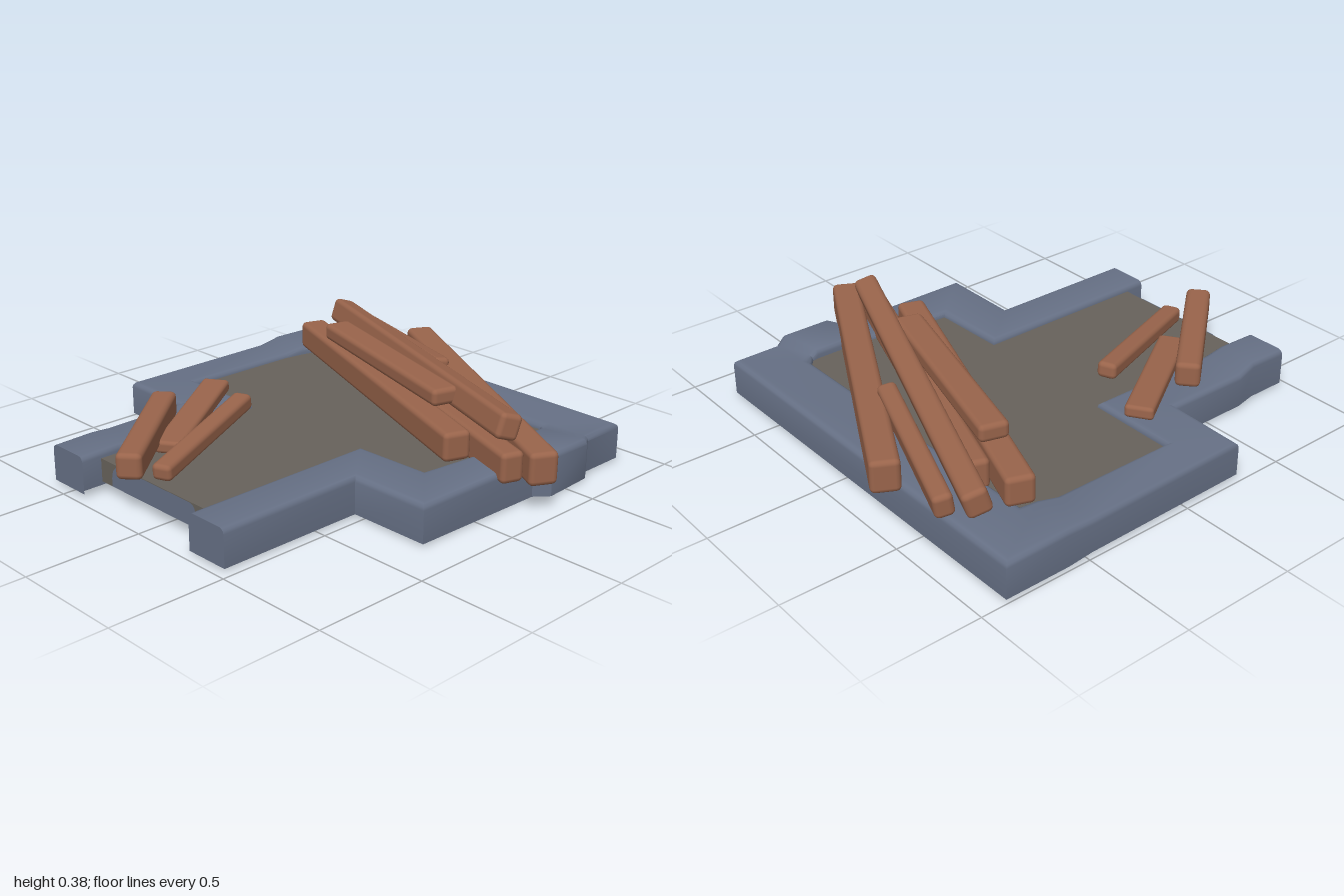
import * as THREE from 'three';
import { toCreasedNormals } from 'three/addons/utils/BufferGeometryUtils.js';
import { RoundedBoxGeometry } from 'three/addons/geometries/RoundedBoxGeometry.js';

const stone = new THREE.MeshStandardMaterial({ color: 0x667085, side: THREE.DoubleSide });
stone.name = 'blue grey stone';
const earth = new THREE.MeshStandardMaterial({ color: 0x67625b, side: THREE.DoubleSide });
earth.name = 'grey brown floor';
const wood = new THREE.MeshStandardMaterial({ color: 0x99644b });
wood.name = 'brown wood';

// Stations along the wall: outer x, z, inner x, z, bottom, top, lower edge of the inner lip
const stations = [
  [0.46, 0.96, 0.26, 0.96, 0.02, 0.18, 0.04],
  [0.46, 0.3, 0.26, 0.07, 0.02, 0.18, 0.1],
  [0.82, 0.3, 0.6, 0.06, 0.02, 0.18, 0.12],
  [0.82, -0.34, 0.64, -0.34, 0.01, 0.175, 0.12],
  [0.87, -0.4, 0.65, -0.4, 0.01, 0.195, 0.12],
  [0.87, -0.62, 0.65, -0.58, 0.02, 0.195, 0.12],
  [0.83, -0.68, 0.645, -0.61, 0.02, 0.18, 0.12],
  [0.83, -0.89, 0.61, -0.64, 0.02, 0.18, 0.12],
  [-1, -0.89, -0.76, -0.63, 0.03, 0.185, 0.12],
  [-1, -0.6, -0.775, -0.57, 0.03, 0.19, 0.12],
  [-0.99, -0.48, -0.79, -0.48, 0.03, 0.175, 0.12],
  [-0.98, 0.29, -0.8, 0.07, 0.03, 0.18, 0.12],
  [-0.63, 0.3, -0.41, 0.07, 0.025, 0.18, 0.1],
  [-0.63, 0.68, -0.41, 0.68, 0.025, 0.175, 0.06],
  [-0.61, 0.78, -0.41, 0.78, 0.025, 0.19, 0.04],
  [-0.61, 0.96, -0.41, 0.96, 0.025, 0.185, 0.04],
];

// Hollow wall swept through the stations: outer face, rounded top, inner lip
function wallGeometry() {
  const bevel = 0.024;
  const rows = stations.map(([ox, oz, ix, iz, bottom, top, lip]) => {
    const point = (t, y) => new THREE.Vector3(ox + (ix - ox) * t, y, oz + (iz - oz) * t);
    const arc = [0, 1, 2, 3].map(k => {
      const a = k * Math.PI / 6;
      return [(1 - Math.cos(a)) * bevel / 0.2, top - bevel + Math.sin(a) * bevel];
    });
    const mirrored = arc.slice().reverse().map(([t, y]) => [1 - t, y]);
    return [[0, bottom], ...arc, ...mirrored, [1, lip]].map(([t, y]) => point(t, y));
  });
  const pos = [];
  const tri = (a, b, c) => pos.push(...a.toArray(), ...b.toArray(), ...c.toArray());
  for (let i = 0; i < rows.length - 1; i++) {
    for (let j = 0; j < rows[i].length - 1; j++) {
      const a = rows[i][j], b = rows[i + 1][j], c = rows[i + 1][j + 1], d = rows[i][j + 1];
      tri(a, b, c);
      tri(a, c, d);
    }
  }
  // Close both front ends
  for (const row of [rows[0], rows[rows.length - 1]]) {
    const foot = row[row.length - 1].clone().setY(row[0].y);
    const ring = [...row, foot];
    const flip = row === rows[0];
    for (let j = 1; j < ring.length - 1; j++) {
      if (flip) tri(ring[0], ring[j], ring[j + 1]);
      else tri(ring[0], ring[j + 1], ring[j]);
    }
  }
  const geometry = new THREE.BufferGeometry();
  geometry.setAttribute('position', new THREE.Float32BufferAttribute(pos, 3));
  return toCreasedNormals(geometry, 0.6);
}

function add(group, name, geometry, material) {
  const mesh = new THREE.Mesh(geometry, material);
  mesh.name = name;
  group.add(mesh);
  return mesh;
}

// Plank between two end points, with a slight roll about its length
function plank(group, name, from, to, width, height, roll = 0) {
  const a = new THREE.Vector3(...from), b = new THREE.Vector3(...to);
  const radius = Math.min(0.022, height * 0.3);
  const geometry = new RoundedBoxGeometry(width, height, a.distanceTo(b) + 0.04, 2, radius);
  const mesh = add(group, name, geometry, wood);
  mesh.position.copy(a).add(b).multiplyScalar(0.5);
  mesh.lookAt(b);
  mesh.rotateZ(roll);
}

export function createModel() {
  const model = new THREE.Group();
  model.name = 'ruinedFoundation';
  add(model, 'foundationWall', wallGeometry(), stone);

  // Floor sheet following the inner side of the wall
  const floorY = 0.155, frontZ = 0.87;
  const outline = stations.map(([ox, oz, ix, iz]) =>
    new THREE.Vector2(ix + (ox - ix) * 0.05, -Math.min(frontZ, iz + (oz - iz) * 0.05)));
  const floor = add(model, 'floor', new THREE.ShapeGeometry(new THREE.Shape(outline)), earth);
  floor.rotation.x = -Math.PI / 2;
  floor.position.y = floorY;

  // Front edge of the floor with a stone coloured face
  const edge = add(model, 'floorFrontEdge', new THREE.PlaneGeometry(0.69, 0.1), earth);
  edge.position.set(-0.075, 0.105, frontZ);
  const patch = new THREE.Shape();
  patch.moveTo(-0.335, 0.058);
  patch.lineTo(0.19, 0.058);
  patch.lineTo(0.19, 0.13);
  patch.quadraticCurveTo(0.185, 0.155, 0.15, 0.155);
  patch.lineTo(-0.28, 0.155);
  patch.quadraticCurveTo(-0.33, 0.15, -0.335, 0.09);
  add(model, 'floorStoneFace', new THREE.ShapeGeometry(patch), stone).position.z = frontZ + 0.004;

  // Large fallen beams across the back
  const beams = new THREE.Group();
  beams.name = 'fallenBeams';
  model.add(beams);
  plank(beams, 'backBeam', [-0.36, 0.235, -0.94], [0.95, 0.21, -0.23], 0.12, 0.14);
  plank(beams, 'topBeam', [-0.79, 0.31, -0.85], [0.77, 0.33, -0.23], 0.1, 0.11, -0.3);
  plank(beams, 'shortBeam', [-0.66, 0.25, -0.9], [0.04, 0.28, -0.64], 0.08, 0.1, -0.15);
  plank(beams, 'lowBeam', [-0.56, 0.23, -0.67], [0.85, 0.205, -0.16], 0.1, 0.13);
  plank(beams, 'frontBeam', [-0.76, 0.25, -0.63], [0.6, 0.23, -0.12], 0.12, 0.125);
  plank(beams, 'upperFrontBeam', [-0.51, 0.345, -0.55], [0.38, 0.335, -0.29], 0.125, 0.075);

  // Small planks at the entrance
  const planks = new THREE.Group();
  planks.name = 'entrancePlanks';
  model.add(planks);
  plank(planks, 'flatPlank', [-0.61, 0.215, 0.11], [-0.26, 0.185, 0.64], 0.12, 0.055);
  plank(planks, 'outerPlank', [-0.55, 0.235, 0.44], [-0.12, 0.235, 0.94], 0.105, 0.11);
  plank(planks, 'innerPlank', [-0.325, 0.245, 0.2], [-0.07, 0.19, 0.82], 0.085, 0.07);
  return model;
}
